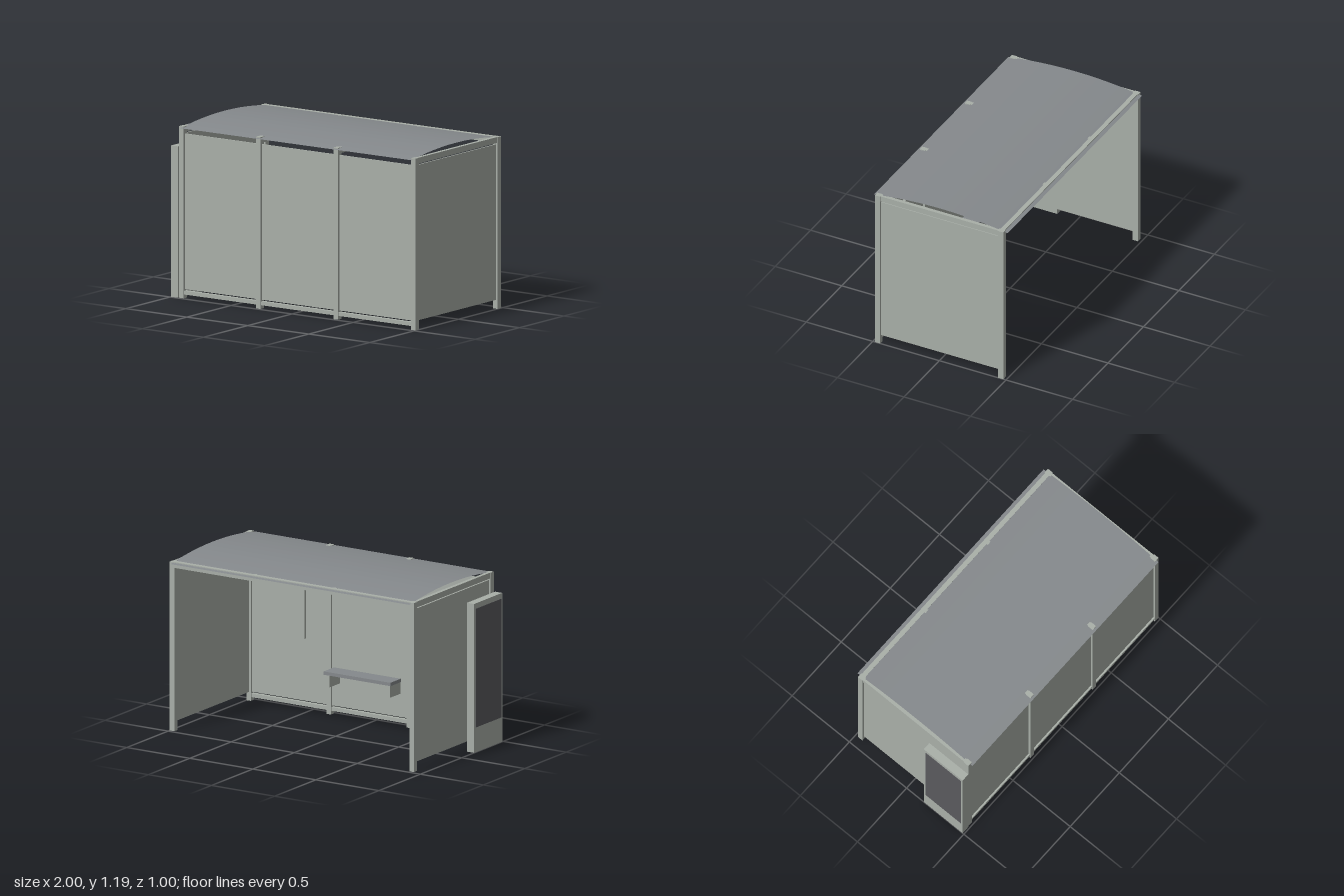
import * as THREE from 'three';

export function createModel() {
  const model = new THREE.Group();
  model.name = 'shelter';

  const frame = new THREE.MeshStandardMaterial({ name: 'pale grey green', color: 0xa9afa8 });
  const sheet = new THREE.MeshStandardMaterial({ name: 'slate grey', color: 0x85898c, side: THREE.DoubleSide });
  const poster = new THREE.MeshStandardMaterial({ name: 'charcoal', color: 0x5a5a5e });

  // Box given by its extents on each axis
  function box(name, material, [x0, x1], [y0, y1], [z0, z1], parent = model) {
    const mesh = new THREE.Mesh(new THREE.BoxGeometry(x1 - x0, y1 - y0, z1 - z0), material);
    mesh.position.set((x0 + x1) / 2, (y0 + y1) / 2, (z0 + z1) / 2);
    mesh.name = name;
    parent.add(mesh);
    return mesh;
  }
  const around = (c, width) => [c - width / 2, c + width / 2];

  // Posts: four along the closed front, two at the open back
  const postX = [-0.918, -0.287, 0.347, 0.982];
  const postWidth = 0.036;
  for (const x of postX) box('frontPost', frame, around(x, postWidth), [0, 1.16], [0.445, 0.485]);
  for (const x of [postX[0], postX[3]]) {
    box('backPost', frame, around(x, postWidth), [0, 1.16], [-0.48, -0.44]);
    // Side rail and side wall
    box('sideRail', frame, around(x, 0.026), [1.12, 1.16], [-0.44, 0.445]);
    box('sidePanel', frame, around(x, 0.01), [0.06, 1.11], [-0.44, 0.445]);
  }

  // Front wall bays with their bottom rails
  for (let i = 0; i < 3; i++) {
    const span = [postX[i] + postWidth / 2, postX[i + 1] - postWidth / 2];
    box('frontPanel', frame, span, [0.06, 1.11], around(0.465, 0.01));
    box('bottomRail', frame, span, [0.025, 0.05], around(0.465, 0.03));
  }

  // Back beam and rafters
  box('backBeam', frame, [postX[0], postX[3]], [1.12, 1.16], [-0.475, -0.443]);
  for (const x of [postX[1], postX[2]]) {
    box('rafter', frame, around(x, 0.03), [1.12, 1.16], [-0.444, 0.446]);
  }

  // Curved roof sheet
  let roofGeometry = new THREE.PlaneGeometry(1.895, 1.004, 1, 12).rotateX(-Math.PI / 2);
  const p = roofGeometry.attributes.position;
  for (let i = 0; i < p.count; i++) {
    p.setY(i, 1.15 + 0.04 * (1 - (p.getZ(i) / 0.502) ** 2));
  }
  roofGeometry = roofGeometry.toNonIndexed();
  roofGeometry.computeVertexNormals();
  const roof = new THREE.Mesh(roofGeometry, sheet);
  roof.position.x = 0.0325;
  roof.name = 'roof';
  model.add(roof);

  // Bench on two brackets
  const bench = new THREE.Group();
  bench.name = 'bench';
  model.add(bench);
  box('seat', sheet, [-0.225, 0.305], [0.305, 0.328], [0.32, 0.445], bench);
  for (const x of [-0.2, 0.28]) {
    box('bracket', frame, around(x, 0.025), [0.22, 0.305], [0.335, 0.46], bench);
  }

  // Notice board inside the end bay
  box('noticeBoard', frame, [0.535, 0.85], [0.49, 0.93], [0.44, 0.46]);

  // Free-standing display case beside the wall
  box('displayCase', frame, [-1, -0.943], [0, 1.022], [0.15, 0.49]);
  box('displayPoster', poster, [-1.002, -0.999], [0.17, 0.985], [0.168, 0.476]);

  return model;
}
